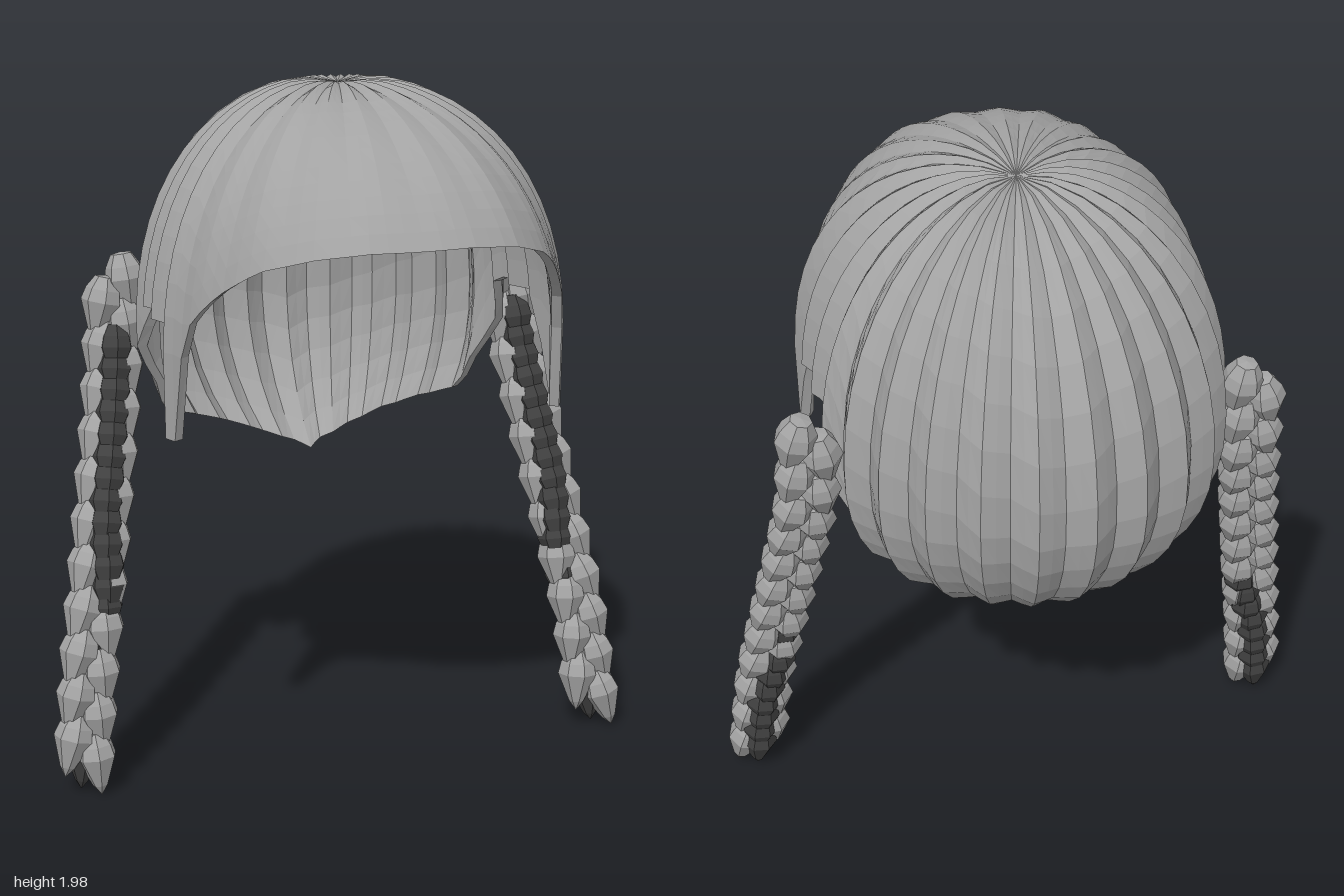
import * as THREE from 'three';

const hairGrey = new THREE.MeshStandardMaterial({ color: 0xa3a3a3 });
hairGrey.name = 'hair grey';
const strandDark = new THREE.MeshStandardMaterial({ color: 0x404040 });
strandDark.name = 'dark strand';

const PLEATS = 26, COLS = PLEATS * 4, ROWS = 14;
const POLE_Z = -0.07, MID_Y = 1.3;

// Degrees from the front -> hem height, and -> widest radius around the crown
const HEM = [[0, 1.68], [10, 1.68], [20, 1.665], [32, 1.62], [43, 1.54], [51, 1.46], [55, 1.4], [57, 1.14],
  [61, 1.09], [64, 1.15], [67.5, 1.4], [96, 1.4], [104, 1.25], [116, 1.03], [140, 0.96], [160, 0.9], [180, 0.855]];
const RADIUS = [[0, 0.845], [10, 0.845], [20, 0.826], [32, 0.757], [43, 0.686], [51, 0.65], [56, 0.64], [61, 0.617],
  [67, 0.585], [82, 0.535], [96, 0.53], [104, 0.54], [116, 0.55], [131, 0.565], [145, 0.575], [160, 0.58], [180, 0.595]];

function lookup(table, v) {
  let i = 1;
  while (i < table.length - 1 && table[i][0] < v) i++;
  const [x0, y0] = table[i - 1], [x1, y1] = table[i];
  return THREE.MathUtils.lerp(y0, y1, (v - x0) / (x1 - x0));
}

// Point on the cap: column j around the crown, row i from crown to hem
function capPoint(i, j, inset) {
  const a = (j / COLS) * Math.PI * 2;
  const deg = Math.min(a, Math.PI * 2 - a) * 180 / Math.PI;
  const front = (1 + Math.cos(a)) / 2;
  const power = 2 + 0.3 * Math.min(1, front * 1.6);
  const hem = lookup(HEM, deg) - MID_Y;
  const up = 0.7 - inset;
  const down = 0.52 + 3 * Math.max(0, front - 0.28);
  const height = hem > 0 ? up : down;
  const endCos = Math.sign(hem) * Math.pow(Math.abs(hem) / height, power / 2);
  const t = i / ROWS, phi = Math.acos(endCos) * t;
  const c = Math.cos(phi), s = Math.sin(phi);
  // Pleats fade out along the fringe
  const wave = [-1, 0, 1, 0][j % 4];
  const fade = 1 - t * THREE.MathUtils.smoothstep(front, 0.7, 0.85);
  const r = (lookup(RADIUS, deg) - inset + 0.018 * wave * fade) * Math.pow(s, 2 / power);
  const y = MID_Y + Math.sign(c) * (c > 0 ? up : down) * Math.pow(Math.abs(c), 2 / power)
    - 0.02 * Math.exp(-t * 14) + 0.006 * wave * fade * Math.max(0, c) * Math.min(1, t * 8);
  return [Math.sin(a) * r, i === ROWS ? MID_Y + hem : y, POLE_Z + Math.cos(a) * r];
}

function buildCap() {
  const pos = [];
  const quad = (a, b, c, d) => pos.push(...a, ...b, ...c, ...a, ...c, ...d);
  const T = 0.028;
  for (let j = 0; j < COLS; j++) {
    const k = (j + 1) % COLS;
    for (let i = 0; i < ROWS; i++) {
      quad(capPoint(i, j, 0), capPoint(i + 1, j, 0), capPoint(i + 1, k, 0), capPoint(i, k, 0));
      quad(capPoint(i, j, T), capPoint(i, k, T), capPoint(i + 1, k, T), capPoint(i + 1, j, T));
    }
    // Hem edge joining the outer and inner walls
    quad(capPoint(ROWS, j, 0), capPoint(ROWS, j, T), capPoint(ROWS, k, T), capPoint(ROWS, k, 0));
  }
  const geo = new THREE.BufferGeometry();
  geo.setAttribute('position', new THREE.Float32BufferAttribute(pos, 3));
  geo.computeVertexNormals();
  const mesh = new THREE.Mesh(geo, hairGrey);
  mesh.name = 'hairCap';
  return mesh;
}

// Teardrop tuft, wide near the top and pointed below
const tuftGeo = new THREE.LatheGeometry(
  [[0, -0.1], [0.022, -0.07], [0.058, 0.015], [0.05, 0.05], [0.03, 0.085], [0, 0.09]].map(p => new THREE.Vector2(...p)), 7
).toNonIndexed();
tuftGeo.computeVertexNormals();

function buildBraid(side) {
  const braid = new THREE.Group();
  braid.name = side > 0 ? 'leftBraid' : 'rightBraid';
  const path = new THREE.CatmullRomCurve3([
    [0.585, 1.41, -0.295], [0.6, 1.2, -0.265], [0.63, 1.0, -0.2], [0.665, 0.8, -0.14],
    [0.7, 0.6, -0.08], [0.735, 0.4, -0.03], [0.76, 0.2, 0], [0.77, 0.11, 0.015]
  ].map(p => new THREE.Vector3(p[0] * side, p[1], p[2])));
  const addTuft = (name, material, t, dx, dz, scale) => {
    const tuft = new THREE.Mesh(tuftGeo, material);
    tuft.name = name;
    tuft.position.copy(path.getPointAt(t)).add(new THREE.Vector3(dx, 0, dz));
    const dir = path.getTangentAt(t).negate().add(new THREE.Vector3(-dx * 5, 0, -dz * 3)).normalize();
    tuft.quaternion.setFromUnitVectors(new THREE.Vector3(0, 1, 0), dir);
    tuft.scale.setScalar(scale);
    braid.add(tuft);
  };
  const N = 22;
  for (let n = 0; n <= N; n++) {
    const t = n / N;
    // Two rows of tufts alternate from side to side
    addTuft('tuft', hairGrey, t, n % 2 ? -0.036 : 0.036, 0, 1);
    // Dark strand winds from the front at the top to the back at the bottom
    if (n > 2) {
      const a = THREE.MathUtils.smoothstep(t, 0.45, 0.9) * Math.PI;
      addTuft('darkTuft', strandDark, t, -side * Math.sin(a) * 0.032, Math.cos(a) * 0.026, 0.9);
    }
  }
  return braid;
}

export function createModel() {
  const model = new THREE.Group();
  model.name = 'braidedHair';
  model.add(buildCap(), buildBraid(1), buildBraid(-1));
  return model;
}
